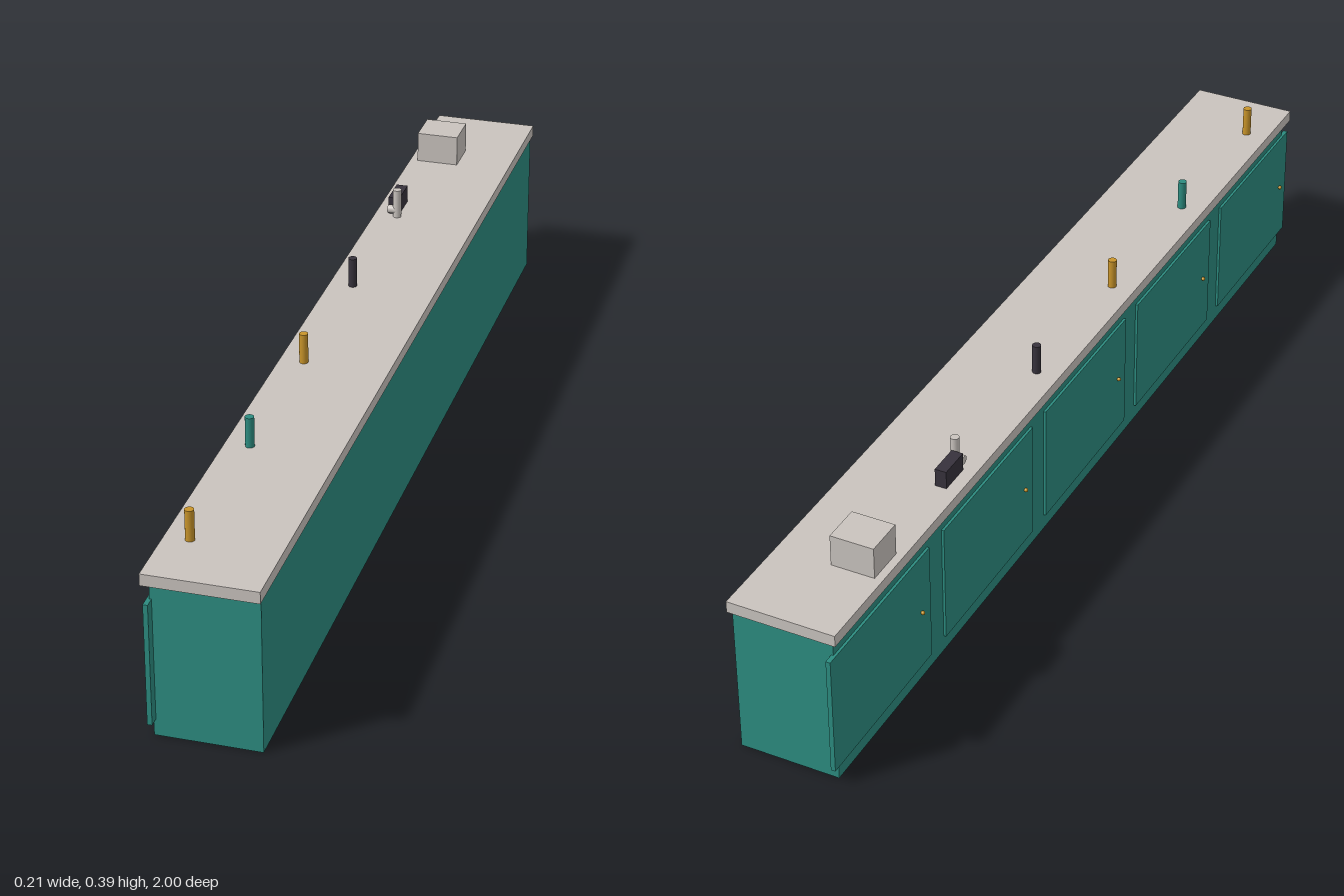
import * as THREE from 'three';

export function createModel() {
  const model = new THREE.Group();
  model.name = 'counter';

  const mat = (name, color) => {
    const m = new THREE.MeshStandardMaterial({ color });
    m.name = name;
    return m;
  };
  const teal = mat('teal paint', 0x2c8c80);
  const stone = mat('pale stone', 0xc9c3be);
  const ochre = mat('ochre', 0xc8942a);
  const dark = mat('dark plastic', 0x37323c);

  const add = (name, geometry, material, x, y, z) => {
    const mesh = new THREE.Mesh(geometry, material);
    mesh.name = name;
    mesh.position.set(x, y, z);
    model.add(mesh);
    return mesh;
  };
  // Box given by its minimum and maximum corners
  const box = (name, material, [x0, y0, z0], [x1, y1, z1]) =>
    add(name, new THREE.BoxGeometry(x1 - x0, y1 - y0, z1 - z0), material,
      (x0 + x1) / 2, (y0 + y1) / 2, (z0 + z1) / 2);

  // Cabinet and worktop
  const topY = 0.33;
  box('cabinet', teal, [-0.095, 0, -0.98], [0.102, 0.307, 0.98]);
  box('worktop', stone, [-0.107, 0.307, -0.993], [0.105, topY, 0.993]);

  // Five doors along the -x side, each with a round knob
  const doorWidth = 0.356, pitch = 0.411;
  for (let i = -2; i <= 2; i++) {
    const z = i * pitch;
    box('door', teal, [-0.1, 0.033, z - doorWidth / 2], [-0.091, 0.275, z + doorWidth / 2]);
    add('knob', new THREE.SphereGeometry(0.004, 16, 12), ochre,
      -0.103, 0.154, z + doorWidth / 2 - 0.035);
  }

  // Row of upright cylinders on the worktop
  const postHeight = 0.06, postX = -0.06;
  const post = new THREE.CylinderGeometry(0.0085, 0.0085, postHeight, 24);
  [[0.865, ochre], [0.53, teal], [0.197, ochre], [-0.136, dark]].forEach(([z, material]) =>
    add('bottle', post, material, postX, topY + postHeight / 2, z));

  // Small appliance: dark body, pale column and side spout
  box('applianceBody', dark, [-0.081, topY, -0.541], [-0.058, 0.366, -0.476]);
  add('applianceColumn', post, stone, postX, topY + postHeight / 2, -0.467);
  const spout = add('applianceSpout', new THREE.CylinderGeometry(0.0085, 0.0085, 0.02, 24),
    stone, -0.069, 0.345, -0.467);
  spout.rotation.z = Math.PI / 2;

  // Pale storage box
  box('storageBox', stone, [-0.091, topY, -0.825], [-0.005, 0.393, -0.747]);

  return model;
}
